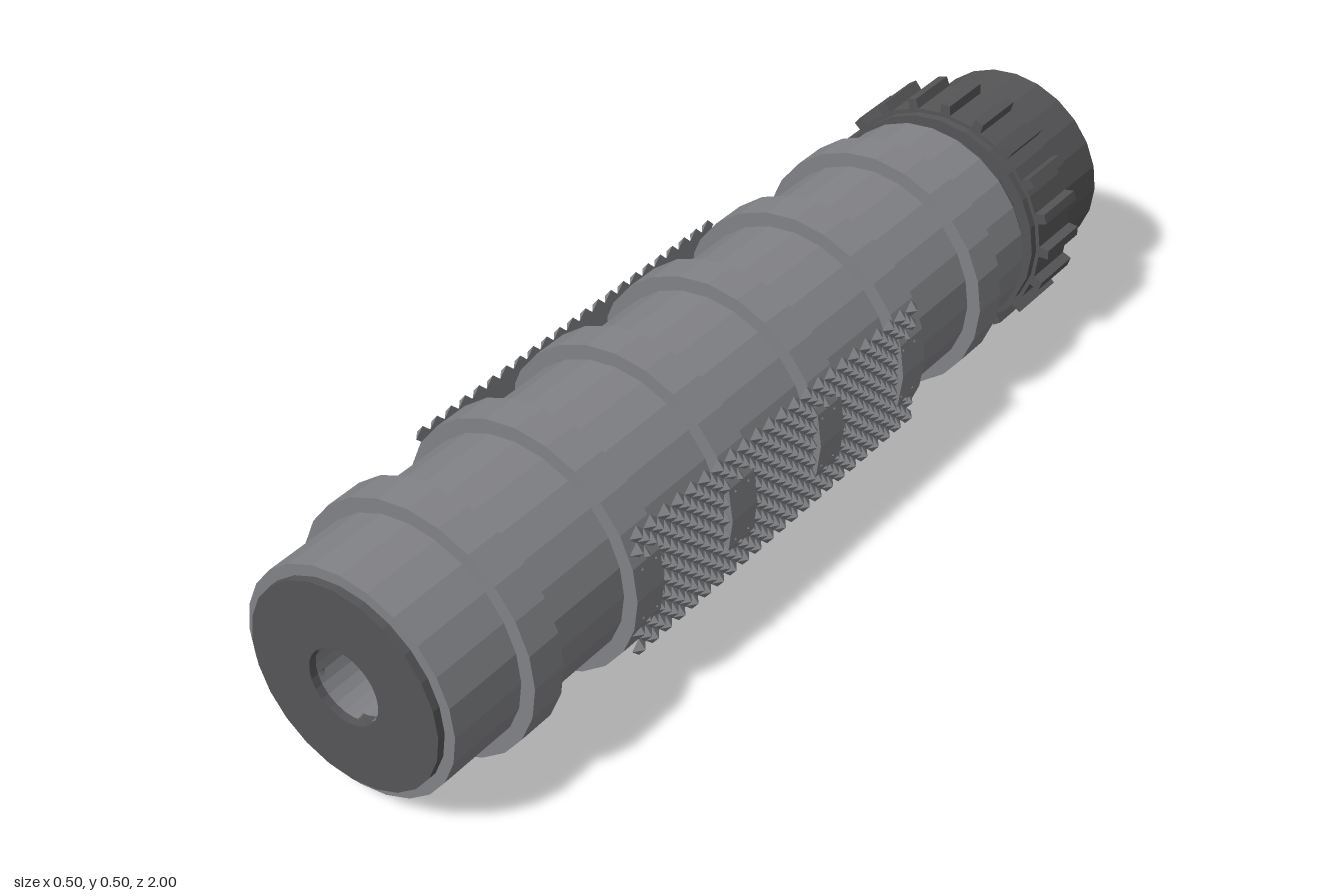
import * as THREE from 'three';
import { mergeGeometries } from 'three/addons/utils/BufferGeometryUtils.js';

const SIDES = 24;
const AXIS_Y = 0.25;
const BORE = 0.073;

// Closed ring-shaped solid around the z axis, between two z positions
function ring(rOuter, rInner, zBack, zFront) {
  const profile = [
    [rInner, zBack], [rOuter, zBack], [rOuter, zFront], [rInner, zFront], [rInner, zBack],
  ].map(([r, z]) => new THREE.Vector2(r, z));
  return new THREE.LatheGeometry(profile, SIDES).rotateX(Math.PI / 2);
}

// Open tube wall that faces the axis
function boreWall(r, zBack, zFront) {
  const profile = [new THREE.Vector2(r, zFront), new THREE.Vector2(r, zBack)];
  return new THREE.LatheGeometry(profile, SIDES).rotateX(Math.PI / 2);
}

export function createModel() {
  const model = new THREE.Group();
  model.name = 'ribbedCylinder';
  const tube = new THREE.Group();
  tube.name = 'tubeAssembly';
  tube.position.y = AXIS_Y;
  model.add(tube);

  const grey = new THREE.MeshStandardMaterial({ color: 0x818286 });
  grey.name = 'mid grey';
  grey.flatShading = true;
  const dark = new THREE.MeshStandardMaterial({ color: 0x555557 });
  dark.name = 'dark grey';
  dark.flatShading = true;

  const add = (name, geometry, material) => {
    const mesh = new THREE.Mesh(geometry, material);
    mesh.name = name;
    tube.add(mesh);
  };

  // Main tube and the hole through it
  add('body', ring(0.218, 0.15, -0.69, 0.985), grey);
  add('bore', boreWall(BORE, -0.98, 0.985), grey);
  add('frontCap', ring(0.197, BORE, 0.97, 1), dark);

  // Raised bands along the tube
  for (let i = 0; i < 6; i++) {
    const z = 0.79 - i * 0.263;
    add('band' + (i + 1), ring(0.246, 0.2, z - 0.036, z + 0.036), grey);
  }

  // Rear mount with its collar
  add('rearMount', ring(0.198, BORE, -1, -0.68), dark);
  add('collarLip', ring(0.222, 0.19, -0.735, -0.717), dark);
  add('collar', ring(0.23, 0.19, -0.843, -0.733), dark);

  // Grip ribs around the collar
  const ribs = [];
  for (let i = 0; i < 20; i++) {
    const rib = new THREE.BoxGeometry(0.024, 0.034, 0.112);
    const p = rib.attributes.position;
    for (let k = 0; k < p.count; k++) {
      if (p.getY(k) > 0) p.setX(k, p.getX(k) * 0.8);
    }
    ribs.push(rib.translate(0, 0.232, -0.789).rotateZ((i * Math.PI) / 10));
  }
  add('collarRibs', mergeGeometries(ribs), dark);

  // Flat panels of small diamond pyramids on both flanks
  for (const [name, side] of [['leftKnurling', 1], ['rightKnurling', -1]]) {
    const studs = [];
    for (let row = 0; row < 15; row++) {
      const offset = row % 2;
      for (let col = 0; col < 23 - offset; col++) {
        const stud = new THREE.ConeGeometry(0.018, 0.014, 4);
        stud.rotateZ((-side * Math.PI) / 2);
        stud.translate(side * 0.235, (row - 7) * 0.0171, 0.54 - (col + offset / 2) * 0.0368);
        studs.push(stud);
      }
    }
    add(name, mergeGeometries(studs), grey);
  }

  return model;
}
